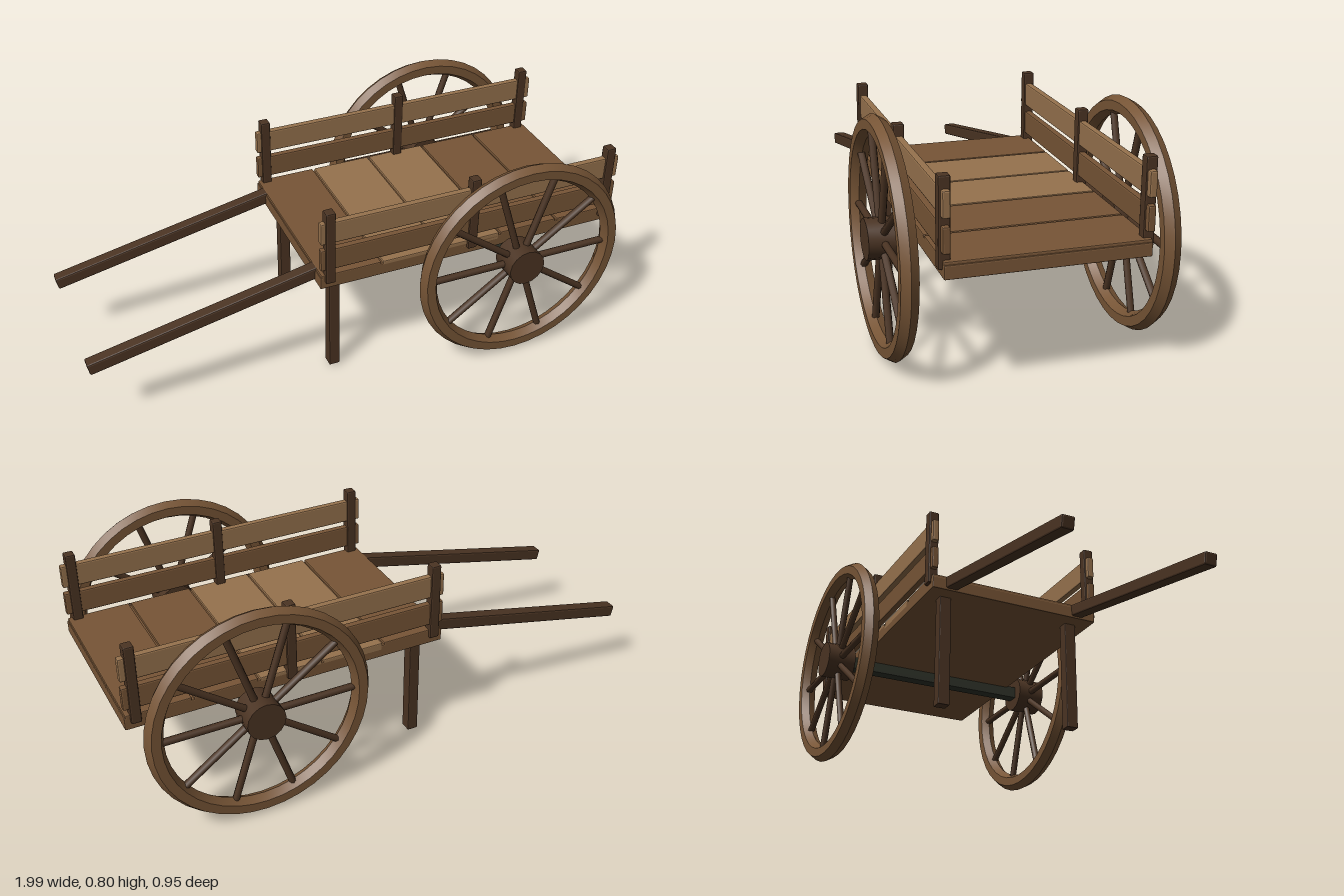
import * as THREE from 'three';
import { toCreasedNormals } from 'three/addons/utils/BufferGeometryUtils.js';
import { RoundedBoxGeometry } from 'three/addons/geometries/RoundedBoxGeometry.js';

export function createModel() {
  const cart = new THREE.Group();
  cart.name = 'handCart';

  const material = (name, color) => {
    const m = new THREE.MeshStandardMaterial({ color });
    m.name = name;
    return m;
  };
  const lightWood = material('light wood', 0x96724d);
  const wood = material('brown wood', 0x775536);
  const darkWood = material('dark wood', 0x4b3423);
  const iron = material('dark iron', 0x2f3329);

  const add = (parent, name, geometry, mat, x, y, z) => {
    const mesh = new THREE.Mesh(geometry, mat);
    mesh.name = name;
    mesh.position.set(x, y, z);
    parent.add(mesh);
    return mesh;
  };

  // Timber with a small flat chamfer on every edge
  const beam = (w, h, d, bevel = 0.005) => {
    const g = new RoundedBoxGeometry(w, h, d, 1, bevel);
    g.computeVertexNormals();
    return g;
  };

  // Bed: a solid base with five cross planks on top
  const x0 = -0.175, length = 1.17, pitch = length / 5;
  add(cart, 'bedBase', beam(length, 0.046, 0.66, 0.004), wood, x0 + length / 2, 0.443, 0);
  for (let i = 0; i < 5; i++) {
    const mat = i === 1 || i === 2 ? lightWood : wood;
    add(cart, 'bedPlank', beam(pitch - 0.008, 0.03, 0.66, 0.004), mat, x0 + pitch * (i + 0.5), 0.461, 0);
  }

  // Axle
  add(cart, 'axle', new THREE.BoxGeometry(0.045, 0.046, 0.8), iron, 0.565, 0.403, 0);

  // Wheel parts
  const rim = toCreasedNormals(new THREE.TorusGeometry(0.368, 0.033, 6, 40), 0.6);
  const hub = toCreasedNormals(new THREE.CylinderGeometry(0.069, 0.069, 0.108, 16).rotateX(Math.PI / 2), 0.6);
  const spoke = new THREE.CylinderGeometry(0.013, 0.013, 0.3, 8).translate(0, 0.2, 0);

  for (const side of [1, -1]) {
    const wheel = new THREE.Group();
    wheel.name = side > 0 ? 'frontWheel' : 'backWheel';
    wheel.position.set(0.565, 0.403, side * 0.42);
    cart.add(wheel);
    add(wheel, 'rim', rim, wood, 0, 0, 0);
    add(wheel, 'hub', hub, darkWood, 0, 0, 0);
    for (let i = 0; i < 10; i++) {
      add(wheel, 'spoke', spoke, darkWood, 0, 0, 0).rotation.z = (i * Math.PI) / 5 - Math.PI / 2;
    }

    // Side boards and the posts holding them
    const railX = x0 + length / 2;
    add(cart, 'lowerBoard', beam(length, 0.085, 0.025), wood, railX, 0.542, side * 0.322);
    add(cart, 'upperBoard', beam(length, 0.085, 0.025), lightWood, railX, 0.652, side * 0.322);
    for (const x of [-0.14, 0.41, 0.957]) {
      add(cart, 'post', beam(0.036, 0.29, 0.038), darkWood, x, 0.59, side * 0.323);
    }

    // Standing leg
    add(cart, 'leg', beam(0.04, 0.42, 0.044, 0.003), darkWood, -0.1, 0.22, side * 0.255);

    // Sloping pull handle
    const handle = add(cart, 'handle', beam(0.86, 0.045, 0.046, 0.006), darkWood, -0.575, 0.366, side * 0.255);
    handle.rotation.z = Math.atan(0.212);
  }

  return cart;
}
